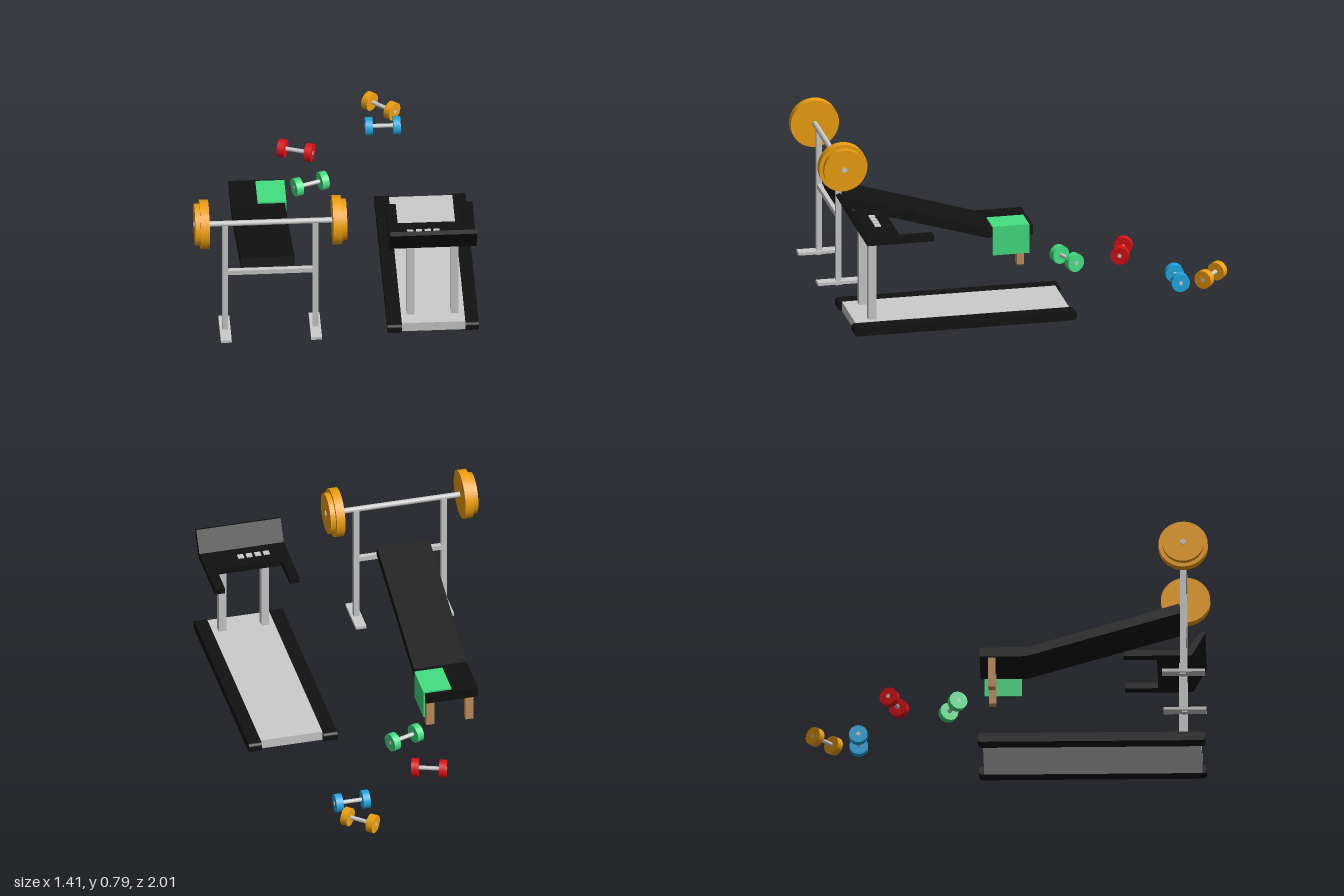
import * as THREE from 'three';

const mat = (color) => new THREE.MeshStandardMaterial({ color });
const grey = mat(0xcccccc), black = mat(0x111111), orange = mat(0xf0a00f), green = mat(0x42df80);
const red = mat(0xdc1216), blue = mat(0x1fa9e4), wood = mat(0xc4905a);

function add(group, name, geometry, material) {
  const mesh = new THREE.Mesh(geometry, material);
  mesh.name = name;
  group.add(mesh);
  return mesh;
}

// Box given by its limits on each axis
function box(group, name, material, [x0, x1], [y0, y1], [z0, z1]) {
  const mesh = add(group, name, new THREE.BoxGeometry(x1 - x0, y1 - y0, z1 - z0), material);
  mesh.position.set((x0 + x1) / 2, (y0 + y1) / 2, (z0 + z1) / 2);
  return mesh;
}

// Side profile in (z, y), extruded from x0 to x1
function profile(group, name, material, shape, [x0, x1]) {
  const g = new THREE.ExtrudeGeometry(shape, { depth: x1 - x0, bevelEnabled: false, curveSegments: 8 });
  g.rotateY(-Math.PI / 2).translate(x1, 0, 0);
  return add(group, name, g, material);
}
const polygon = (pts) => new THREE.Shape(pts.map(([z, y]) => new THREE.Vector2(z, y)));

// Cylinder along x
function rod(group, name, material, r, x0, x1, segments = 40) {
  const g = new THREE.CylinderGeometry(r, r, x1 - x0, segments).rotateZ(Math.PI / 2);
  g.translate((x0 + x1) / 2, 0, 0);
  return add(group, name, g, material);
}

function subgroup(parent, name) {
  const g = new THREE.Group();
  g.name = name;
  parent.add(g);
  return g;
}

function buildRack(parent) {
  const rack = subgroup(parent, 'barbellRack');
  for (const x of [-0.549, -0.102]) {
    box(rack, 'rackPost', grey, [x - 0.014, x + 0.014], [0.012, 0.665], [0.861, 0.889]);
    box(rack, 'rackFoot', grey, [x - 0.027, x + 0.027], [0.02, 0.035], [0.77, 0.983]);
  }
  box(rack, 'crossBar', grey, [-0.54, -0.11], [0.361, 0.386], [0.863, 0.887]);

  const barbell = subgroup(rack, 'barbell');
  barbell.position.set(-0.325, 0.668, 0.877);
  rod(barbell, 'bar', grey, 0.014, -0.38, 0.38, 20);
  for (const s of [-1, 1]) {
    const plates = subgroup(barbell, 'plates');
    plates.rotation.y = s < 0 ? Math.PI : 0;
    rod(plates, 'largePlate', orange, 0.122, 0.306, 0.35, 48);
    rod(plates, 'smallPlate', orange, 0.103, 0.35, 0.376, 48);
  }
}

function buildBench(parent) {
  const bench = subgroup(parent, 'inclineBench');
  const pad = polygon([[-0.132, 0.158], [0.097, 0.158], [0.867, 0.389], [0.853, 0.438], [0.104, 0.208], [-0.132, 0.208]]);
  profile(bench, 'benchPad', black, pad, [-0.471, -0.204]);
  for (const x of [-0.438, -0.238])
    box(bench, 'benchLeg', wood, [x - 0.02, x + 0.02], [0, 0.16], [-0.09, -0.054]);
  // Towel draped over the side of the pad
  box(bench, 'towelTop', green, [-0.34, -0.197], [0.207, 0.216], [-0.113, 0.072]);
  box(bench, 'towelSide', green, [-0.206, -0.197], [0.066, 0.216], [-0.113, 0.072]);
}

function buildTreadmill(parent) {
  const mill = subgroup(parent, 'treadmill');
  // Side rails with rounded ends
  const [z0, z1, y0, y1, r] = [-0.156, 0.97, 0.03, 0.077, 0.018];
  const rail = new THREE.Shape();
  rail.absarc(z1 - r, y0 + r, r, -Math.PI / 2, 0);
  rail.absarc(z1 - r, y1 - r, r, 0, Math.PI / 2);
  rail.absarc(z0 + r, y1 - r, r, Math.PI / 2, Math.PI);
  rail.absarc(z0 + r, y0 + r, r, Math.PI, Math.PI * 1.5);
  rail.closePath();
  for (const x of [[0.251, 0.322], [0.636, 0.702]]) profile(mill, 'sideRail', black, rail, x);
  box(mill, 'belt', grey, [0.322, 0.636], [0.03, 0.078], [-0.13, 0.95]);

  for (const x of [0.369, 0.587])
    box(mill, 'uprightPost', grey, [x - 0.019, x + 0.019], [0.07, 0.5], [0.837, 0.877]);

  // Console shelf, hand rests and tilted panel
  const width = [0.264, 0.694];
  box(mill, 'consoleShelf', black, width, [0.498, 0.529], [0.73, 0.89]);
  for (const x of [[0.264, 0.314], [0.644, 0.694]])
    box(mill, 'handRest', black, x, [0.498, 0.529], [0.565, 0.735]);
  const panel = polygon([[0.885, 0.498], [0.902, 0.498], [0.97, 0.62], [0.947, 0.63], [0.88, 0.525]]);
  profile(mill, 'consolePanel', black, panel, width);
  for (let i = 0; i < 4; i++) {
    const x = 0.357 + i * 0.0435;
    box(mill, 'button', grey, [x, x + 0.03], [0.525, 0.535], [0.794, 0.824]);
  }
}

function buildDumbbell(parent, material, x, z, angle) {
  const bell = subgroup(parent, 'dumbbell');
  bell.position.set(x, 0.075, z);
  bell.rotation.y = angle;
  rod(bell, 'handle', grey, 0.0105, -0.089, 0.089, 20);
  for (const s of [-1, 1]) rod(bell, 'weight', material, 0.046, s * 0.069 - 0.018, s * 0.069 + 0.018);
}

export function createModel() {
  const model = new THREE.Group();
  model.name = 'gymEquipment';
  buildRack(model);
  buildBench(model);
  buildTreadmill(model);
  buildDumbbell(model, green, -0.06, -0.272, 0.35);
  buildDumbbell(model, red, -0.113, -0.561, -0.33);
  buildDumbbell(model, blue, 0.328, -0.745, 0);
  buildDumbbell(model, orange, 0.328, -0.915, -0.7);
  return model;
}
